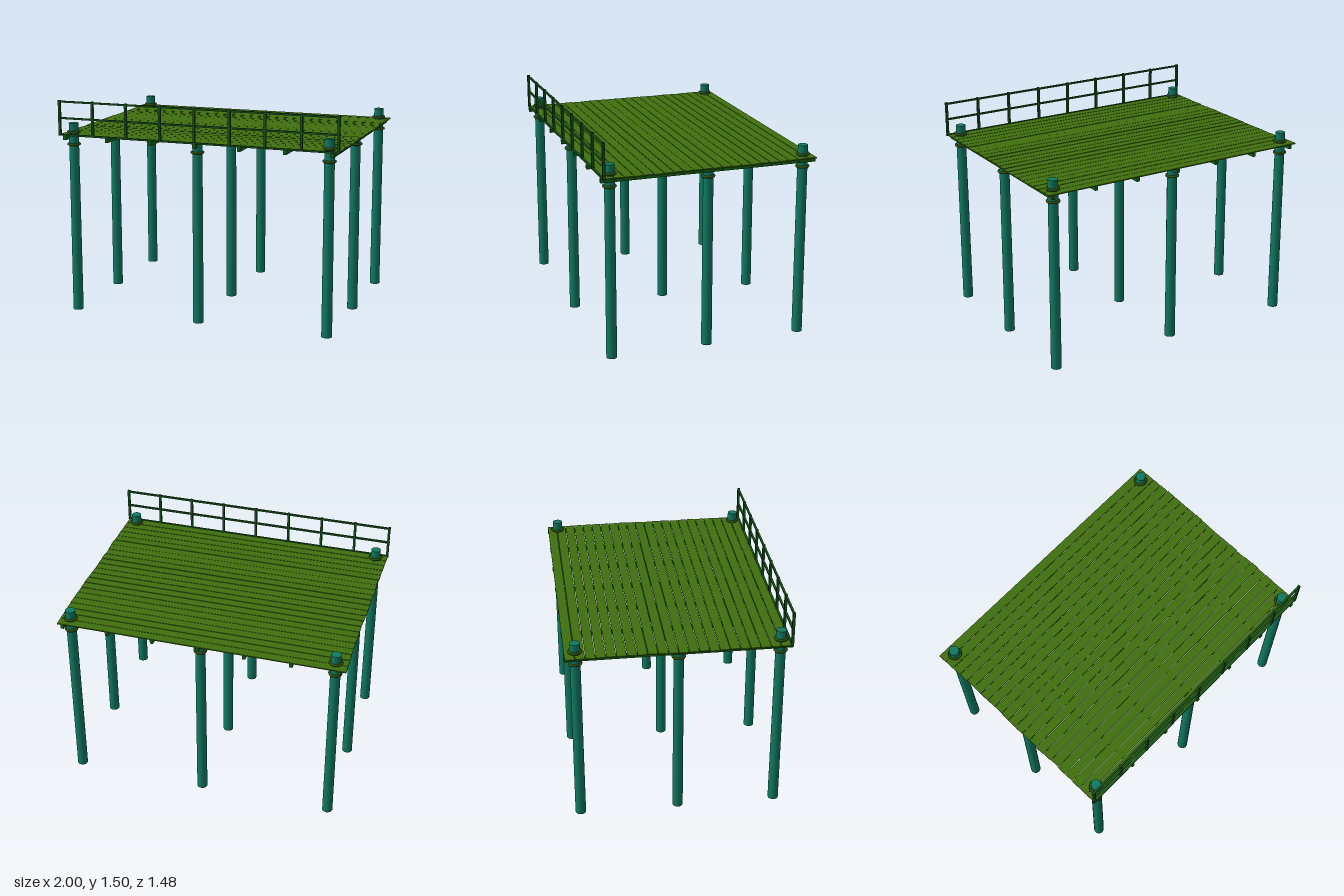
import * as THREE from 'three';

export function createModel() {
  const model = new THREE.Group();
  model.name = 'stiltDeck';
  const paint = (color) => new THREE.MeshStandardMaterial({ color });
  const postMat = paint(0x0f7a62);
  const plankMat = paint(0x3f6f0e);
  const beamMat = paint(0x146614);
  const railMat = paint(0x17511a);
  const ringMat = paint(0x2f4f0c);

  const add = (name, geometry, material, x, y, z) => {
    const mesh = new THREE.Mesh(geometry, material);
    mesh.name = name;
    mesh.position.set(x, y, z);
    model.add(mesh);
    return mesh;
  };
  const box = (name, w, h, d, material, x, y, z) =>
    add(name, new THREE.BoxGeometry(w, h, d), material, x, y, z);

  // small seeded generator for the hand-laid plank offsets, -1..1
  let seed = 7;
  const jitter = () => {
    seed = (seed * 16807) % 2147483647;
    return (seed / 2147483647) * 2 - 1;
  };

  // rope lashing around a post
  const ringGeo = new THREE.TorusGeometry(0.038, 0.009, 8, 24).rotateX(Math.PI / 2);
  const lashing = (x, y, z) => add('postLashing', ringGeo, ringMat, x, y, z);

  // nine stilts; only the corner ones rise through the deck
  for (const x of [-0.915, 0, 0.915]) {
    for (const z of [-0.67, 0, 0.67]) {
      const corner = x !== 0 && z !== 0;
      const height = corner ? 1.337 : 1.245;
      const geo = new THREE.CylinderGeometry(0.034, 0.036, height, 20);
      add(corner ? 'cornerPost' : 'supportPost', geo, postMat, x, height / 2, z);
      lashing(x, 1.19, z);
      if (corner) lashing(x, 1.276, z);
    }
  }

  // joists running front to back beneath the planks
  for (let i = -3; i <= 3; i++) {
    box('joist', 0.022, 0.028, 1.484, beamMat, i * 0.317, 1.24, 0);
  }

  // deck planks, side by side with narrow gaps
  const plankCount = 22;
  const pitch = 1.468 / plankCount;
  for (let i = 0; i < plankCount; i++) {
    const z = -0.742 + (i + 0.5) * pitch;
    const plank = box('deckPlank', 1.985, 0.008, pitch - 0.004, plankMat,
      jitter() * 0.005, 1.257 + jitter() * 0.0008, z);
    plank.rotation.x = jitter() * 0.03;
  }

  // front railing: nine uprights and three rails
  const railZ = 0.729;
  for (let i = -4; i <= 4; i++) {
    box('railingUpright', 0.016, 0.245, 0.018, railMat, i * 0.2475, 1.3775, railZ);
  }
  for (const y of [1.26, 1.376, 1.49]) {
    box('railingRail', 2, 0.012, 0.014, railMat, 0, y, railZ);
  }

  return model;
}
